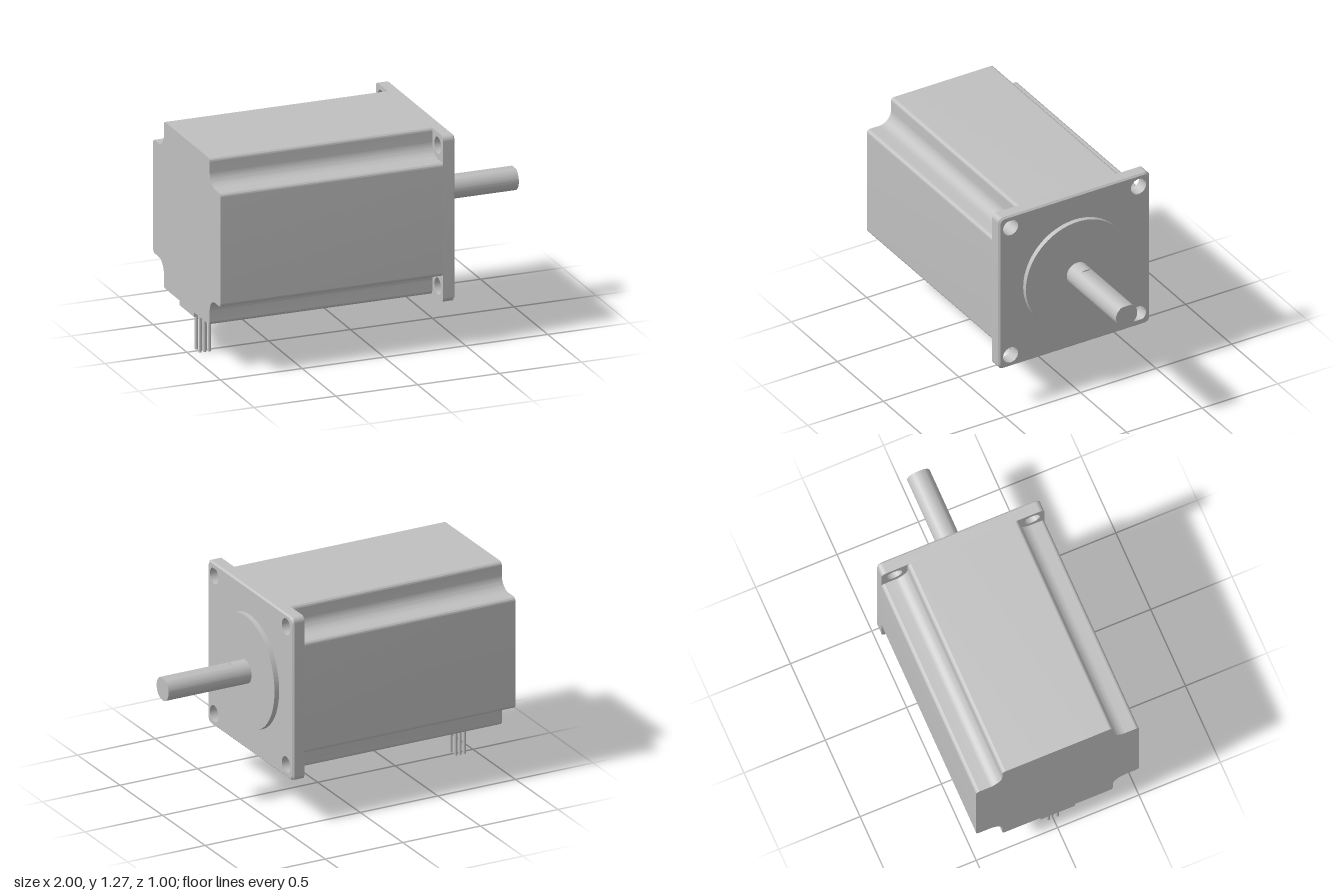
import * as THREE from 'three';
import { toCreasedNormals } from 'three/addons/utils/BufferGeometryUtils.js';

const AXIS_Y = 0.775;   // height of the shaft axis
const Q = Math.PI / 2;

export function createModel() {
  const motor = new THREE.Group();
  motor.name = 'steppedMotor';
  const metal = new THREE.MeshStandardMaterial({ color: 0xc0c0c0 });
  metal.name = 'plain grey metal';

  const add = (name, geometry, x, y, z) => {
    const mesh = new THREE.Mesh(geometry, metal);
    mesh.name = name;
    mesh.position.set(x, y, z);
    motor.add(mesh);
    return mesh;
  };
  // Turns a profile extruded along z so that it runs along +x
  const alongX = (geometry) => toCreasedNormals(geometry.rotateY(Q), 0.6);
  const extrude = (shape, depth, steps = 1) => new THREE.ExtrudeGeometry(shape, {
    depth, steps, bevelEnabled: false, curveSegments: 12,
  });

  // Body: square section with a filleted notch in each corner
  const section = new THREE.Shape();
  for (let k = 0; k < 4; k++) {
    const t = k * Q, c = Math.round(Math.cos(t)), s = Math.round(Math.sin(t));
    const arc = (x, y, r, from, to, clockwise) =>
      section.absarc(x * c - y * s, x * s + y * c, r, from + t, to + t, clockwise);
    arc(0.48, 0.32, 0.02, 0, Q, false);
    arc(0.42, 0.42, 0.08, 3 * Q, 2 * Q, true);
    arc(0.32, 0.48, 0.02, 0, Q, false);
  }
  section.closePath();
  add('body', alongX(extrude(section, 1.36)), -1, AXIS_Y, 0);

  // Mounting flange: rounded plate with four holes and a chamfered front rim
  const plate = new THREE.Shape();
  for (let k = 0; k < 4; k++) {
    const a = k * Q + Q / 2;
    const m = 0.47 * Math.SQRT2;
    plate.absarc(m * Math.cos(a), m * Math.sin(a), 0.03, k * Q, (k + 1) * Q, false);
  }
  plate.closePath();
  for (const x of [-0.423, 0.423]) {
    for (const y of [-0.423, 0.423]) {
      plate.holes.push(new THREE.Path().absarc(x, y, 0.05, 0, 4 * Q, true));
    }
  }
  const flange = extrude(plate, 0.075, 2);
  const p = flange.attributes.position;
  for (let i = 0; i < p.count; i++) {
    const z = p.getZ(i);
    const outer = Math.max(Math.abs(p.getX(i)), Math.abs(p.getY(i))) > 0.48;
    if (z > 0.07 && outer) p.setXY(i, p.getX(i) * 0.98, p.getY(i) * 0.98);
    else if (z > 0.01 && z < 0.07) p.setZ(i, 0.065);
  }
  add('flange', alongX(flange), 0.36, AXIS_Y, 0);

  // Raised round pilot on the flange
  const pilot = new THREE.CylinderGeometry(0.34, 0.34, 0.035, 72).rotateZ(-Q);
  add('pilot', pilot, 0.4475, AXIS_Y, 0);

  // Shaft: round root, then a D-shaped length with the flat on top
  const root = new THREE.CylinderGeometry(0.07, 0.07, 0.11, 40).rotateZ(-Q);
  add('shaftRoot', root, 0.505, AXIS_Y, 0);
  const flat = Math.asin(0.063 / 0.07);
  const dShape = new THREE.Shape();
  dShape.absarc(0, 0, 0.07, 2 * Q - flat, 4 * Q + flat, false);
  dShape.closePath();
  const dShaft = new THREE.ExtrudeGeometry(dShape, { depth: 0.44, bevelEnabled: false, curveSegments: 36 });
  add('shaftFlat', alongX(dShaft), 0.56, AXIS_Y, 0);

  // Cable outlet plate below the rear end
  add('cableOutlet', new THREE.BoxGeometry(0.195, 0.03, 0.212), -0.9025, 0.262, 0);

  // Lead wires in three staggered rows
  const wire = new THREE.CylinderGeometry(0.0095, 0.0095, 0.25, 14);
  [-1, 0, 1].forEach((row) => {
    const offsets = row === 0 ? [-0.5, 0.5] : [-1, 0, 1];
    offsets.forEach((o) => add('leadWire', wire, -0.902 + o * 0.028, 0.125, row * 0.0275));
  });

  return motor;
}
